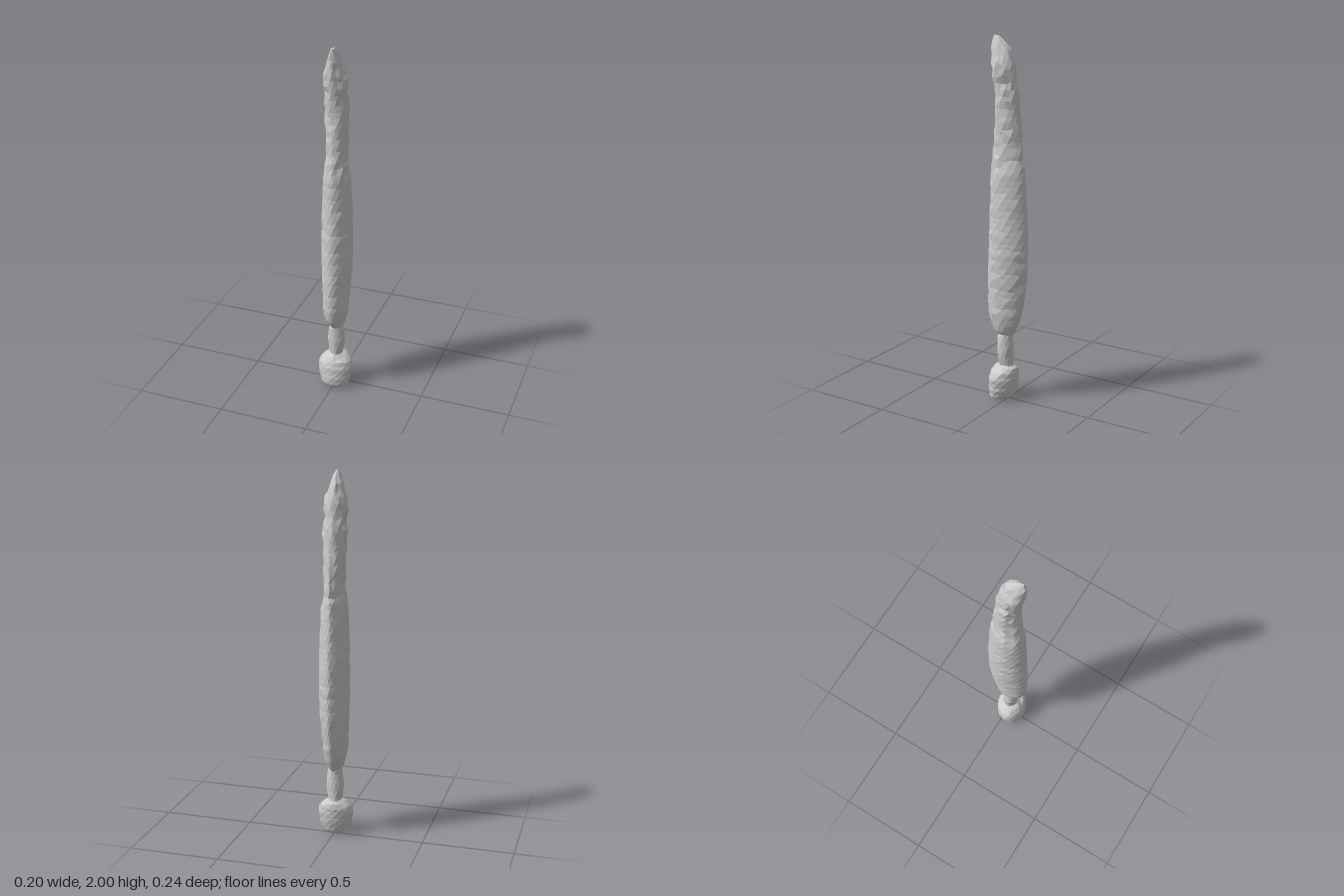
import * as THREE from 'three';

// Small seeded generator for the hand-carved unevenness, giving -1..1
let seed = 7;
const rnd = () => {
  seed = (seed * 16807) % 2147483647;
  return (seed / 2147483647) * 2 - 1;
};

// Sample a profile of [y, half width, front z, back z] at height y
function sample(profile, y) {
  let i = 0;
  while (i < profile.length - 2 && profile[i + 1][0] < y) i++;
  const a = profile[i], b = profile[i + 1];
  const t = THREE.MathUtils.clamp((y - a[0]) / (b[0] - a[0]), 0, 1);
  return a.map((v, k) => v + (b[k] - v) * t);
}

// Closed loft through teardrop sections; rough(y) sets the size of the chips
function loft(name, profile, rings, sides, pinch, rough) {
  const y0 = profile[0][0], y1 = profile[profile.length - 1][0];
  const pos = [], index = [];
  for (let r = 0; r <= rings; r++) {
    const y = y0 + ((y1 - y0) * r) / rings;
    const [, hx, zf, zb] = sample(profile, y);
    const zc = zb + (zf - zb) * 0.55;           // widest slightly toward the front
    const end = r === 0 || r === rings;
    const ringScale = 1 + 0.5 * rnd() * rough(y);
    for (let s = 0; s < sides; s++) {
      const a = ((s + (r % 2) * 0.5) / sides) * Math.PI * 2;
      const c = Math.cos(a), d = Math.sin(a);
      const k = ringScale * (1 + rnd() * rough(y));
      const narrow = Math.pow(Math.abs(c), d < 0 ? pinch : 1.1);
      pos.push(
        Math.sign(c) * narrow * hx * k,
        y + (end ? 0 : (rnd() * 0.3 * (y1 - y0)) / rings),
        zc + d * (d > 0 ? zf - zc : zc - zb) * (1 + (k - 1) * 0.5)
      );
    }
  }
  for (let r = 0; r < rings; r++) {
    for (let s = 0; s < sides; s++) {
      const n = (s + 1) % sides;
      const a = r * sides + s, b = r * sides + n, c = a + sides, d = b + sides;
      if (r % 2) index.push(a, c, d, a, d, b);
      else index.push(a, c, b, b, c, d);
    }
  }
  // End caps
  [[y0, 0], [y1, rings]].forEach(([y, r]) => {
    const [, , zf, zb] = sample(profile, y);
    const centre = pos.length / 3;
    pos.push(0, y, (zf + zb) / 2);
    for (let s = 0; s < sides; s++) {
      const a = r * sides + s, b = r * sides + ((s + 1) % sides);
      if (r) index.push(centre, b, a);
      else index.push(centre, a, b);
    }
  });
  const geo = new THREE.BufferGeometry();
  geo.setAttribute('position', new THREE.Float32BufferAttribute(pos, 3));
  geo.setIndex(index);
  geo.computeVertexNormals();
  const mesh = new THREE.Mesh(
    geo,
    new THREE.MeshStandardMaterial({ color: 0xcccccc, flatShading: true })
  );
  mesh.name = name;
  return mesh;
}

export function createModel() {
  seed = 7;
  const group = new THREE.Group();
  group.name = 'carvedClub';

  // Rounded knob at the foot
  group.add(loft('pommel', [
    [0, 0.05, 0.085, -0.005],
    [0.02, 0.08, 0.105, -0.03],
    [0.06, 0.09, 0.11, -0.045],
    [0.13, 0.1, 0.105, -0.055],
    [0.165, 0.085, 0.095, -0.057],
    [0.19, 0.05, 0.075, -0.05],
    [0.205, 0.025, 0.05, -0.02],
  ], 10, 14, 1, () => 0.025));

  // Slim neck
  group.add(loft('grip', [
    [0.18, 0.03, 0.055, -0.035],
    [0.22, 0.042, 0.058, -0.028],
    [0.29, 0.05, 0.062, -0.027],
    [0.34, 0.044, 0.062, -0.025],
    [0.39, 0.034, 0.06, -0.025],
  ], 6, 12, 1, () => 0.03));

  // Long body, smooth below and chipped toward the forward-leaning tip
  group.add(loft('blade', [
    [0.37, 0.03, 0.055, -0.025],
    [0.39, 0.042, 0.075, -0.04],
    [0.43, 0.056, 0.1, -0.06],
    [0.5, 0.068, 0.12, -0.085],
    [0.6, 0.073, 0.122, -0.105],
    [0.7, 0.078, 0.122, -0.117],
    [0.85, 0.083, 0.115, -0.12],
    [1.0, 0.081, 0.108, -0.12],
    [1.2, 0.076, 0.103, -0.108],
    [1.3, 0.07, 0.1, -0.1],
    [1.4, 0.055, 0.088, -0.086],
    [1.53, 0.056, 0.075, -0.08],
    [1.6, 0.06, 0.068, -0.068],
    [1.68, 0.063, 0.07, -0.063],
    [1.75, 0.055, 0.078, -0.052],
    [1.8, 0.068, 0.085, -0.045],
    [1.87, 0.056, 0.094, -0.036],
    [1.94, 0.032, 0.1, -0.012],
    [1.98, 0.02, 0.1, 0.025],
    [2.0, 0.008, 0.085, 0.055],
  ], 48, 16, 1.35, (y) => (y > 1.3 ? 0.1 : 0.035)));

  return group;
}
